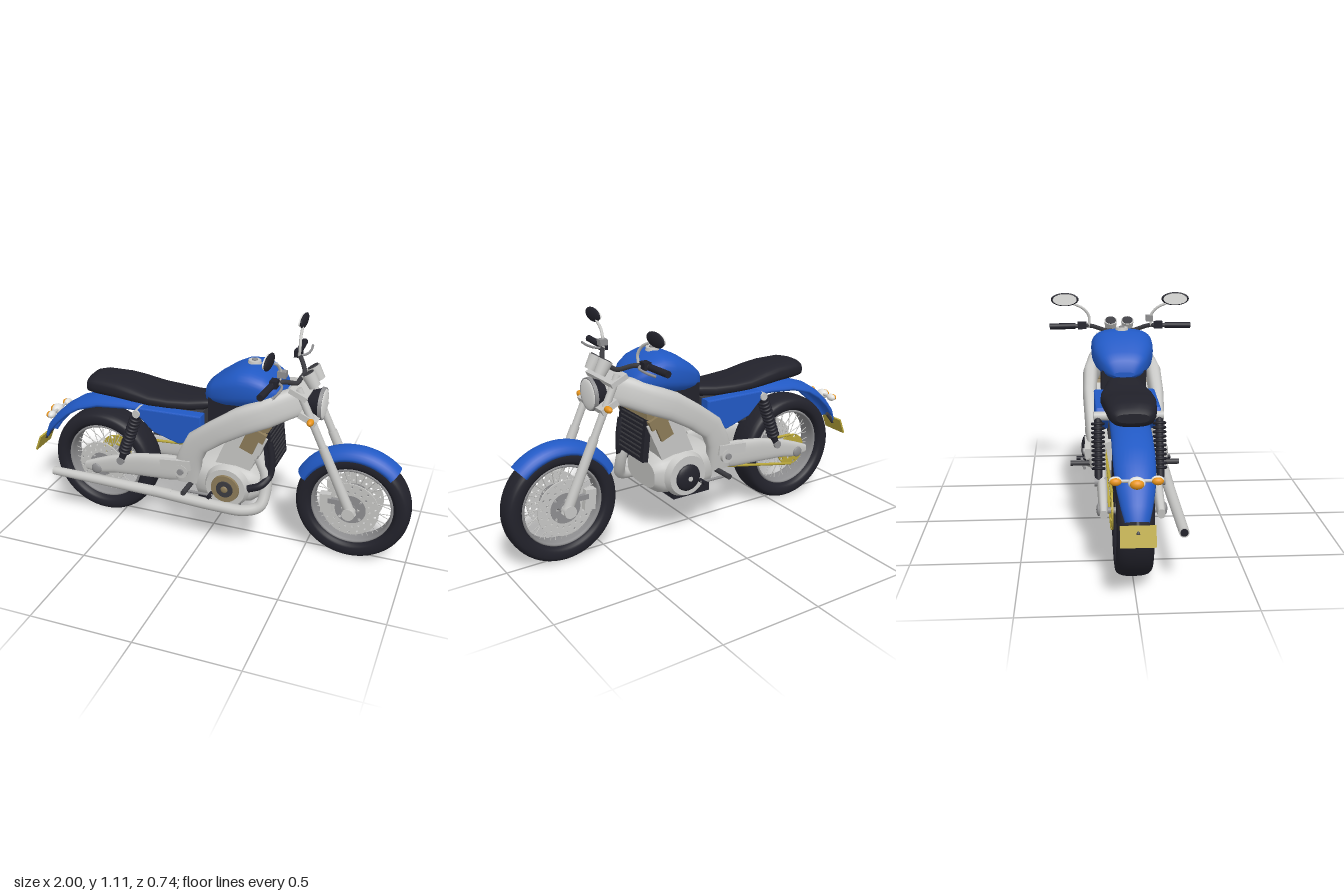
import * as THREE from 'three';

const mat = (name, color, side = THREE.FrontSide) => {
  const m = new THREE.MeshStandardMaterial({ color, side });
  m.name = name;
  return m;
};
const V = (x, y, z) => new THREE.Vector3(x, y, z);
const SIDES = [['left', 1], ['right', -1]];

// Cross-sections, as [z, y] for an angle
const round = (a) => {
  const p = (v) => Math.sign(v) * Math.pow(Math.abs(v), 0.72);
  return [p(Math.cos(a)), p(Math.sin(a))];
};
const arch = (a) => Math.sin(a) >= 0 ? [Math.cos(a), Math.sin(a)]
  : [0.93 * Math.cos(a), -0.85 * Math.sin(a)];

// Skin over stations [x, y, z, halfHeight, halfWidth] that run in the xy plane
function sweep(st, { section = round, upright = false, caps = true, n = 28 } = {}) {
  const pos = [], idx = [];
  st.forEach(([x, y, z, h, w], i) => {
    const a = st[Math.max(i - 1, 0)], b = st[Math.min(i + 1, st.length - 1)];
    let tx = upright ? 1 : b[0] - a[0], ty = upright ? 0 : b[1] - a[1];
    const l = Math.hypot(tx, ty);
    tx /= l; ty /= l;
    for (let j = 0; j < n; j++) {
      const [c, s] = section((j / n) * Math.PI * 2);
      pos.push(x - ty * h * s, y + tx * h * s, z + w * c);
    }
  });
  for (let i = 0; i < st.length - 1; i++) for (let j = 0; j < n; j++) {
    const k = (j + 1) % n, p = i * n, q = p + n;
    idx.push(p + j, q + j, p + k, q + j, q + k, p + k);
  }
  if (caps) for (const [i, flip] of [[0, false], [st.length - 1, true]]) {
    const base = pos.length / 3;
    pos.push(st[i][0], st[i][1], st[i][2], ...pos.slice(i * n * 3, (i + 1) * n * 3));
    for (let j = 0; j < n; j++) {
      const p = base + 1 + j, q = base + 1 + (j + 1) % n;
      idx.push(base, flip ? q : p, flip ? p : q);
    }
  }
  const g = new THREE.BufferGeometry();
  g.setAttribute('position', new THREE.Float32BufferAttribute(pos, 3));
  g.setIndex(idx);
  g.computeVertexNormals();
  return g;
}

// Ring-shaped plate with a circle of holes, axis along z
function disc(R, r, holeR, holeAt, count, depth) {
  const s = new THREE.Shape().absarc(0, 0, R, 0, Math.PI * 2);
  s.holes.push(new THREE.Path().absarc(0, 0, r, 0, Math.PI * 2, true));
  for (let i = 0; i < count; i++) {
    const a = (i / count) * Math.PI * 2, d = holeAt + (i % 2 ? 0.014 : -0.014);
    s.holes.push(new THREE.Path().absarc(Math.cos(a) * d, Math.sin(a) * d, holeR, 0, Math.PI * 2, true));
  }
  return new THREE.ExtrudeGeometry(s, { depth, bevelEnabled: false, curveSegments: 20 }).translate(0, 0, -depth / 2);
}

export function createModel() {
  const root = new THREE.Group();
  const blue = mat('blue paint', 0x2159c4), black = mat('black rubber', 0x22222b), silver = mat('silver', 0xc6c6c4),
    steel = mat('steel', 0x8e8e90), tan = mat('bronze', 0x8c7b58), orange = mat('orange lens', 0xe8951c),
    yellow = mat('yellow', 0xb8a63a), lens = mat('clear lens', 0xe2e2e0), dark = mat('dark metal', 0x3b3b40);

  const add = (name, geo, m, p = [0, 0, 0], parent = root) => {
    const o = new THREE.Mesh(geo, m);
    o.name = name;
    o.position.set(...p);
    parent.add(o);
    return o;
  };
  const rod = (name, a, b, r, m, r2 = r, parent = root, seg = 20) => {
    const A = V(...a), B = V(...b), d = B.clone().sub(A);
    const o = add(name, new THREE.CylinderGeometry(r2, r, d.length(), seg), m, A.clone().add(B).multiplyScalar(0.5).toArray(), parent);
    o.quaternion.setFromUnitVectors(V(0, 1, 0), d.normalize());
    return o;
  };
  const tube = (name, pts, r, m, seg = 40) =>
    add(name, new THREE.TubeGeometry(new THREE.CatmullRomCurve3(pts.map((p) => V(...p))), seg, r, 14), m);
  const box = (name, s, p, m, tilt = 0) => {
    const o = add(name, new THREE.BoxGeometry(...s), m, p);
    o.rotation.z = tilt;
    return o;
  };
  const ball = (name, r, p, m, s = [1, 1, 1]) => {
    const o = add(name, new THREE.SphereGeometry(r, 24, 16), m, p);
    o.scale.set(...s);
    return o;
  };

  // Wheels: tyre, rim, hub and crossed spokes
  const wheel = (name, x, y, R, w) => {
    const g = new THREE.Group();
    g.name = name;
    g.position.set(x, y, 0);
    root.add(g);
    const ring = (mid, hr, hw, n) => new THREE.LatheGeometry(Array.from({ length: n + 1 }, (_, i) => {
      const [c, s] = round((i / n) * Math.PI * 2);
      return new THREE.Vector2(mid + hr * c, hw * s);
    }), 64).rotateX(Math.PI / 2);
    add('tyre', ring(R - 0.041, 0.041, w, 24), black, [0, 0, 0], g);
    add('rim', ring(R - 0.085, 0.009, w * 0.7, 12), steel, [0, 0, 0], g);
    rod('hub', [0, 0, -0.07], [0, 0, 0.07], 0.03, steel, 0.03, g);
    for (let i = 0; i < 40; i++) {
      const a = (i / 40) * Math.PI * 2, b = a + (i % 4 < 2 ? 0.3 : -0.3), z = i % 2 ? 0.045 : -0.045;
      rod('spoke', [0.028 * Math.cos(b), 0.028 * Math.sin(b), z],
        [(R - 0.085) * Math.cos(a), (R - 0.085) * Math.sin(a), 0], 0.002, silver, 0.002, g, 6);
    }
    return g;
  };
  const front = wheel('frontWheel', 0.72, 0.285, 0.28, 0.06);
  const rear = wheel('rearWheel', -0.595, 0.29, 0.285, 0.08);
  for (const z of [-0.062, 0.062]) add('brakeDisc', disc(0.138, 0.07, 0.006, 0.108, 36, 0.006), silver, [0, 0, z], front);
  for (const z of [-0.062, 0.062]) add('discCarrier', disc(0.075, 0.02, 0.008, 0.052, 8, 0.008), steel, [0, 0, z], front);
  add('rearBrakeDisc', disc(0.125, 0.06, 0.006, 0.098, 32, 0.006), silver, [0, 0, 0.082], rear);
  add('rearDiscCarrier', disc(0.065, 0.02, 0.007, 0.044, 8, 0.008), steel, [0, 0, 0.082], rear);
  add('sprocket', disc(0.085, 0.03, 0.009, 0.06, 10, 0.008), yellow, [0, 0, -0.088], rear);
  rod('chainTop', [-0.59, 0.374, -0.088], [-0.06, 0.4, -0.1], 0.007, yellow);
  rod('chainBottom', [-0.6, 0.206, -0.088], [-0.06, 0.32, -0.1], 0.007, yellow);
  rod('rearAxle', [-0.595, 0.29, -0.15], [-0.595, 0.29, 0.15], 0.014, steel);
  rod('frontAxle', [0.72, 0.285, -0.12], [0.72, 0.285, 0.12], 0.014, steel);

  // Fenders
  const frontArc = [];
  for (let i = 0; i <= 20; i++) {
    const a = THREE.MathUtils.degToRad(154 - i * 5.4);
    frontArc.push([0.72 + 0.255 * Math.cos(a), 0.285 + 0.255 * Math.sin(a), 0, 0.055, 0.066]);
  }
  add('frontFender', sweep(frontArc, { section: arch, caps: false }), blue);
  add('rearFender', sweep([[-0.93, 0.372, 0, 0.03, 0.05], [-0.9, 0.42, 0, 0.04, 0.065], [-0.845, 0.48, 0, 0.045, 0.08],
    [-0.78, 0.54, 0, 0.045, 0.088], [-0.71, 0.585, 0, 0.045, 0.09], [-0.6, 0.62, 0, 0.048, 0.09], [-0.45, 0.635, 0, 0.048, 0.09],
    [-0.28, 0.64, 0, 0.045, 0.09]], { section: arch, caps: false }), blue);

  // Fuel tank and seat
  add('fuelTank', sweep([[-0.022, 0.762, 0, 0.012, 0.05], [-0.01, 0.785, 0, 0.045, 0.085], [0.03, 0.8, 0, 0.065, 0.115],
    [0.1, 0.825, 0, 0.088, 0.145], [0.16, 0.842, 0, 0.1, 0.155], [0.22, 0.85, 0, 0.097, 0.156], [0.28, 0.848, 0, 0.08, 0.148],
    [0.33, 0.838, 0, 0.056, 0.125], [0.36, 0.825, 0, 0.03, 0.095], [0.37, 0.82, 0, 0.008, 0.05]], { upright: true, n: 40 }), blue);
  rod('fuelCap', [0.205, 0.93, 0], [0.205, 0.957, 0], 0.036, silver, 0.03);
  rod('fuelCapLock', [0.205, 0.95, 0], [0.205, 0.962, 0], 0.014, steel);
  box('airbox', [0.22, 0.13, 0.22], [0.12, 0.71, 0], black);
  add('seat', sweep([[-0.657, 0.725, 0, 0.02, 0.07], [-0.648, 0.728, 0, 0.042, 0.092], [-0.6, 0.732, 0, 0.05, 0.105],
    [-0.48, 0.73, 0, 0.05, 0.116], [-0.4, 0.722, 0, 0.046, 0.122], [-0.3, 0.71, 0, 0.036, 0.126], [-0.2, 0.708, 0, 0.033, 0.12],
    [-0.1, 0.708, 0, 0.035, 0.1], [-0.03, 0.716, 0, 0.034, 0.085], [0, 0.722, 0, 0.025, 0.075]], { upright: true, n: 36 }), black);
  box('batteryBox', [0.26, 0.16, 0.18], [-0.16, 0.6, 0], dark);

  // Engine
  add('crankcase', sweep([[-0.06, 0.36, 0, 0.08, 0.13], [-0.03, 0.345, 0, 0.11, 0.165], [0.06, 0.345, 0, 0.115, 0.175],
    [0.16, 0.345, 0, 0.115, 0.175], [0.24, 0.345, 0, 0.1, 0.16], [0.28, 0.345, 0, 0.07, 0.13]], { upright: true }), silver);
  box('oilPan', [0.21, 0.04, 0.28], [0.075, 0.236, 0], black);
  box('cylinderBlock', [0.17, 0.22, 0.24], [0.165, 0.49, 0], silver, -0.4);
  box('cylinderHead', [0.14, 0.1, 0.27], [0.235, 0.6, 0], silver, -0.4);
  box('headCover', [0.1, 0.05, 0.3], [0.262, 0.64, 0], tan, -0.4);
  for (const [s, z] of SIDES) {
    box(s + 'CylinderPanel', [0.07, 0.1, 0.02], [0.235, 0.595, z * 0.14], tan, -0.4);
    rod(s + 'EngineCover', [0.13, 0.35, z * 0.16], [0.13, 0.35, z * 0.192], 0.115, silver, 0.1, root, 36);
  }
  rod('clutchRing', [0.13, 0.35, 0.18], [0.13, 0.35, 0.203], 0.074, tan, 0.07, root, 36);
  rod('clutchCap', [0.13, 0.35, 0.19], [0.13, 0.35, 0.208], 0.045, dark, 0.042, root, 32);
  ball('clutchBolt', 0.018, [0.13, 0.35, 0.207], tan, [1, 1, 0.4]);
  ball('alternatorCap', 0.068, [0.13, 0.34, -0.19], black, [1, 1, 0.35]);
  rod('alternatorBolt', [0.13, 0.34, -0.2], [0.13, 0.34, -0.217], 0.012, silver);

  // Radiator with fins, and the coolant hose
  box('radiator', [0.03, 0.22, 0.25], [0.315, 0.55, 0], black, 0.12);
  for (let i = 0; i < 9; i++) box('radiatorFin', [0.01, 0.006, 0.2], [0.34 - i * 0.0028, 0.465 + i * 0.022, 0], dark, 0.12);
  box('radiatorTop', [0.04, 0.025, 0.27], [0.3, 0.665, 0], tan, 0.12);
  tube('coolantHose', [[0.32, 0.6, 0.11], [0.335, 0.5, 0.11], [0.33, 0.42, 0.12], [0.3, 0.385, 0.165], [0.24, 0.36, 0.175]], 0.018, black);

  // Exhaust
  tube('exhaustPipe', [[0.27, 0.5, 0.1], [0.31, 0.42, 0.115], [0.317, 0.34, 0.14], [0.3, 0.275, 0.175], [0.23, 0.252, 0.2],
    [0.1, 0.25, 0.205], [-0.25, 0.263, 0.2]], 0.028, silver, 60);
  rod('muffler', [-0.15, 0.26, 0.2], [-0.812, 0.272, 0.205], 0.028, silver, 0.022, root, 28);
  rod('mufflerOpening', [-0.8, 0.272, 0.205], [-0.814, 0.2722, 0.205], 0.017, black);

  // Paired frame, suspension and cockpit parts
  for (const [s, z] of SIDES) {
    add(s + 'FrameBeam', sweep([[0.46, 0.81, z * 0.03, 0.07, 0.04], [0.39, 0.79, z * 0.085, 0.07, 0.042], [0.31, 0.755, z * 0.13, 0.07, 0.042],
      [0.2, 0.71, z * 0.162, 0.068, 0.037], [0.08, 0.635, z * 0.168, 0.062, 0.034], [-0.02, 0.56, z * 0.165, 0.062, 0.032],
      [-0.06, 0.48, z * 0.16, 0.062, 0.032], [-0.08, 0.41, z * 0.15, 0.07, 0.035], [-0.08, 0.33, z * 0.145, 0.06, 0.03]]), silver);
    add(s + 'Swingarm', sweep([[-0.66, 0.295, z * 0.125, 0.022, 0.016], [-0.59, 0.305, z * 0.125, 0.04, 0.02], [-0.5, 0.33, z * 0.125, 0.048, 0.022],
      [-0.35, 0.355, z * 0.125, 0.062, 0.024], [-0.2, 0.37, z * 0.125, 0.068, 0.026], [-0.06, 0.38, z * 0.12, 0.06, 0.028]]), silver);
    rod(s + 'Pivot', [-0.1, 0.4, z * 0.12], [-0.1, 0.4, z * 0.2], 0.035, silver);
    rod(s + 'PivotBolt', [-0.1, 0.4, z * 0.19], [-0.1, 0.4, z * 0.21], 0.016, steel);
    ball(s + 'AxleAdjuster', 0.028, [-0.595, 0.295, z * 0.145], steel, [1, 1, 0.4]);
    box(s + 'PegBracket', [0.16, 0.05, 0.025], [-0.13, 0.43, z * 0.185], silver, 0.1);
    rod(s + 'Footpeg', [-0.06, 0.325, z * 0.16], [-0.06, 0.325, z * 0.27], 0.013, dark);
    rod(s + 'FootLever', [-0.07, 0.3, z * 0.2], [0.07, 0.31, z * 0.215], 0.007, steel);
    rod(s + 'LeverTip', [0.06, 0.31, z * 0.19], [0.06, 0.31, z * 0.24], 0.01, black);

    // Side panel
    const panel = new THREE.Shape([[-0.35, 0.655], [-0.26, 0.57], [-0.13, 0.53], [-0.03, 0.56], [-0.02, 0.6], [-0.02, 0.68], [-0.33, 0.675]]
      .map((p) => new THREE.Vector2(...p)));
    add(s + 'SidePanel', new THREE.ExtrudeGeometry(panel, { depth: 0.04, bevelSize: 0.008, bevelThickness: 0.01, bevelSegments: 3 }),
      blue, [0, 0, z > 0 ? 0.1 : -0.14]);

    // Rear shock and its spring coils
    const top = V(-0.35, 0.65, z * 0.14), low = V(-0.45, 0.37, z * 0.14);
    rod(s + 'ShockBody', low.toArray(), top.toArray(), 0.018, black);
    for (let i = 0; i < 11; i++) {
      const c = add(s + 'ShockCoil', new THREE.TorusGeometry(0.025, 0.007, 8, 20), black, low.clone().lerp(top, 0.2 + i * 0.068).toArray());
      c.quaternion.setFromUnitVectors(V(0, 0, 1), top.clone().sub(low).normalize());
    }
    rod(s + 'ShockTopMount', [-0.35, 0.65, z * 0.08], [-0.35, 0.65, z * 0.16], 0.02, silver);
    rod(s + 'ShockLowMount', [-0.45, 0.37, z * 0.11], [-0.45, 0.37, z * 0.16], 0.02, steel);

    // Front fork, caliper and clamps
    rod(s + 'ForkTube', [0.445, 0.885, z * 0.095], [0.62, 0.51, z * 0.095], 0.018, silver);
    rod(s + 'ForkLower', [0.575, 0.607, z * 0.095], [0.733, 0.268, z * 0.095], 0.022, silver, 0.025);
    rod(s + 'ForkFoot', [0.72, 0.285, z * 0.08], [0.72, 0.285, z * 0.122], 0.03, silver);
    box(s + 'Caliper', [0.055, 0.1, 0.04], [0.605, 0.31, z * 0.075], silver, 0.1);
    box(s + 'CaliperBracket', [0.1, 0.025, 0.02], [0.665, 0.33, z * 0.088], steel);
    rod(s + 'IndicatorStem', [0.5, 0.745, z * 0.08], [0.515, 0.745, z * 0.12], 0.008, silver);
    ball(s + 'FrontIndicator', 0.016, [0.52, 0.745, z * 0.137], orange, [1, 1, 1.7]);

    // Gauge, handlebar, lever and mirror
    rod(s + 'Gauge', [0.51, 0.885, z * 0.045], [0.475, 0.945, z * 0.045], 0.028, silver, 0.034);
    rod(s + 'GaugeFace', [0.477, 0.942, z * 0.045], [0.473, 0.948, z * 0.045], 0.028, dark);
    tube(s + 'Handlebar', [[0.43, 0.895, 0], [0.43, 0.9, z * 0.07], [0.39, 0.932, z * 0.15], [0.36, 0.938, z * 0.2], [0.35, 0.938, z * 0.36]], 0.011, dark);
    rod(s + 'Grip', [0.357, 0.938, z * 0.235], [0.348, 0.938, z * 0.368], 0.016, black);
    box(s + 'Switchgear', [0.035, 0.035, 0.045], [0.362, 0.94, z * 0.2], black);
    tube(s + 'Lever', [[0.37, 0.935, z * 0.175], [0.4, 0.935, z * 0.21], [0.405, 0.932, z * 0.28], [0.395, 0.93, z * 0.35]], 0.006, steel, 16);
    tube(s + 'MirrorStem', [[0.375, 0.93, z * 0.165], [0.378, 0.985, z * 0.163], [0.372, 1.025, z * 0.19], [0.365, 1.055, z * 0.245]], 0.007, silver, 24);
    ball(s + 'Mirror', 0.072, [0.362, 1.076, z * 0.288], black, [0.17, 0.48, 1]);
    const glass = add(s + 'MirrorGlass', new THREE.CylinderGeometry(0.062, 0.062, 0.006, 32).rotateZ(Math.PI / 2), lens, [0.351, 1.076, z * 0.288]);
    glass.scale.set(1, 0.46, 1);

    // Rear indicator
    rod(s + 'RearIndicatorStem', [-0.875, 0.53, 0], [-0.875, 0.53, z * 0.07], 0.007, silver);
    ball(s + 'RearIndicator', 0.019, [-0.872, 0.53, z * 0.085], lens, [1, 1, 1.4]);
    ball(s + 'RearIndicatorLens', 0.017, [-0.884, 0.53, z * 0.085], orange, [0.9, 0.95, 1.4]);
  }
  box('reservoir', [0.04, 0.03, 0.035], [0.385, 0.972, 0.155], steel);
  box('topClamp', [0.09, 0.024, 0.25], [0.45, 0.862, 0], silver, -0.43);
  box('lowerClamp', [0.09, 0.03, 0.24], [0.5, 0.745, 0], silver, -0.43);
  rod('steeringHead', [0.41, 0.86, 0], [0.47, 0.73, 0], 0.04, silver);

  // Headlight
  rod('headlightShell', [0.48, 0.785, 0], [0.535, 0.785, 0], 0.055, black, 0.074, root, 40);
  rod('headlightRing', [0.533, 0.785, 0], [0.55, 0.785, 0], 0.079, steel, 0.077, root, 40);
  ball('headlightLens', 0.072, [0.549, 0.785, 0], lens, [0.14, 1, 1]);

  // Tail light and number plate
  ball('tailLight', 0.032, [-0.888, 0.525, 0], lens, [0.9, 0.8, 1.1]);
  ball('tailLens', 0.026, [-0.903, 0.525, 0], orange, [0.8, 0.8, 1.1]);
  rod('plateBracket', [-0.93, 0.4, 0], [-0.978, 0.34, 0], 0.01, dark);
  box('numberPlate', [0.009, 0.088, 0.145], [-0.981, 0.335, 0], yellow, -0.38);

  return root;
}
